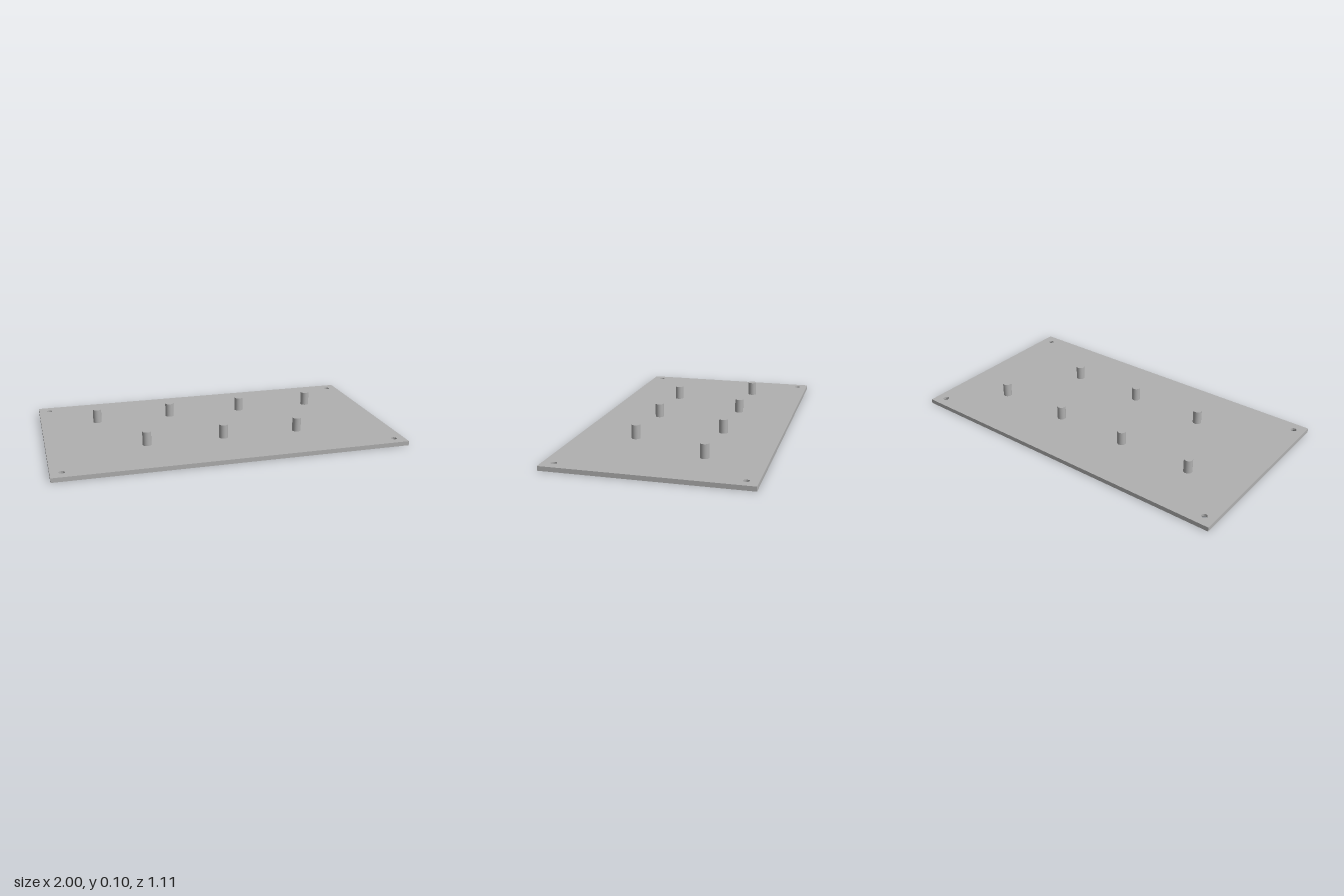
import * as THREE from 'three';
import { toCreasedNormals } from 'three/addons/utils/BufferGeometryUtils.js';

const HALF_X = 1, HALF_Z = 0.555, THICK = 0.025;
const HOLE_X = 0.938, HOLE_Z = 0.492, HOLE_R = 0.0165, SINK_R = 0.028;
const PEG_R = 0.025, PEG_H = 0.08;

// Flat plate with four corner holes, widened towards the underside
function plateGeometry() {
  const shape = new THREE.Shape([
    new THREE.Vector2(-HALF_X, -HALF_Z), new THREE.Vector2(HALF_X, -HALF_Z),
    new THREE.Vector2(HALF_X, HALF_Z), new THREE.Vector2(-HALF_X, HALF_Z),
  ]);
  for (const sx of [-1, 1]) for (const sy of [-1, 1]) {
    const hole = new THREE.Path();
    hole.absarc(sx * HOLE_X, sy * HOLE_Z, HOLE_R, 0, Math.PI * 2, true);
    shape.holes.push(hole);
  }
  const geo = new THREE.ExtrudeGeometry(shape, { depth: THICK, steps: 2, bevelEnabled: false, curveSegments: 32 });

  // Countersink: push the bottom rim of each hole outwards
  const p = geo.attributes.position;
  for (let i = 0; i < p.count; i++) {
    const cx = Math.sign(p.getX(i)) * HOLE_X, cy = Math.sign(p.getY(i)) * HOLE_Z;
    const dx = p.getX(i) - cx, dy = p.getY(i) - cy;
    if (p.getZ(i) < 0.001 && Math.hypot(dx, dy) < HOLE_R * 1.1) {
      const k = SINK_R / HOLE_R;
      p.setXY(i, cx + dx * k, cy + dy * k);
    }
  }
  geo.rotateX(-Math.PI / 2);
  return toCreasedNormals(geo, Math.PI / 7);
}

export function createModel() {
  const model = new THREE.Group();
  model.name = 'pegBoard';
  const grey = new THREE.MeshStandardMaterial({ color: 0xb0b0b0 });
  grey.name = 'plain grey';

  const plate = new THREE.Mesh(plateGeometry(), grey);
  plate.name = 'plate';
  model.add(plate);

  // Two staggered rows of pegs: four at the back, three at the front
  const pegGeo = new THREE.CylinderGeometry(PEG_R, PEG_R, PEG_H, 32);
  const rows = [
    { z: -0.223, xs: [-0.668, -0.223, 0.223, 0.668] },
    { z: 0.223, xs: [-0.445, 0, 0.445] },
  ];
  for (const { z, xs } of rows) for (const x of xs) {
    const peg = new THREE.Mesh(pegGeo, grey);
    peg.name = 'peg';
    peg.position.set(x, THICK + PEG_H / 2, z);
    model.add(peg);
  }
  return model;
}
